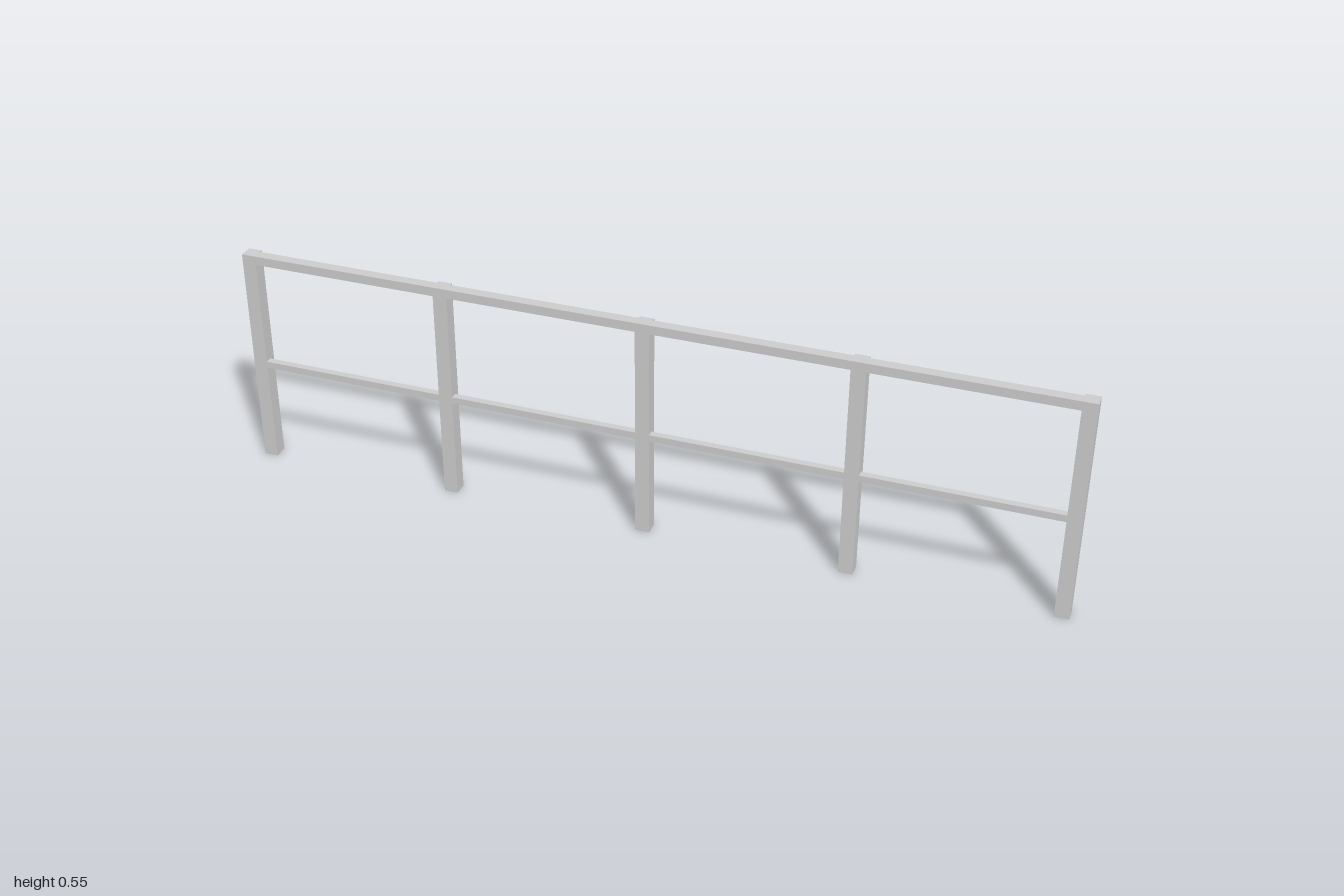
import * as THREE from 'three';

const HEIGHT = 0.552;
const POST = 0.034; // square post section
const FRONT = POST / 2; // rails sit flush with the front of the posts
const SPACING = (2 - POST) / 4;

export function createModel() {
  const railing = new THREE.Group();
  railing.name = 'railing';
  const material = new THREE.MeshStandardMaterial({ color: 0xcccccc, flatShading: true });

  const addBox = (name, w, h, d, x, y, z) => {
    const mesh = new THREE.Mesh(new THREE.BoxGeometry(w, h, d), material);
    mesh.name = name;
    mesh.position.set(x, y, z);
    railing.add(mesh);
  };

  // Five upright posts
  for (let i = -2; i <= 2; i++) {
    addBox('post', POST, HEIGHT, POST, i * SPACING, HEIGHT / 2, 0);
  }

  // Handrail and thinner middle rail, spanning each bay between posts
  const rails = [
    { name: 'topRail', height: 0.022, depth: 0.026, y: HEIGHT - 0.011 },
    { name: 'middleRail', height: 0.017, depth: 0.017, y: 0.26 },
  ];
  for (const { name, height, depth, y } of rails) {
    for (let bay = -1.5; bay <= 1.5; bay++) {
      addBox(name, SPACING - POST, height, depth, bay * SPACING, y, FRONT - depth / 2);
    }
  }

  return railing;
}
